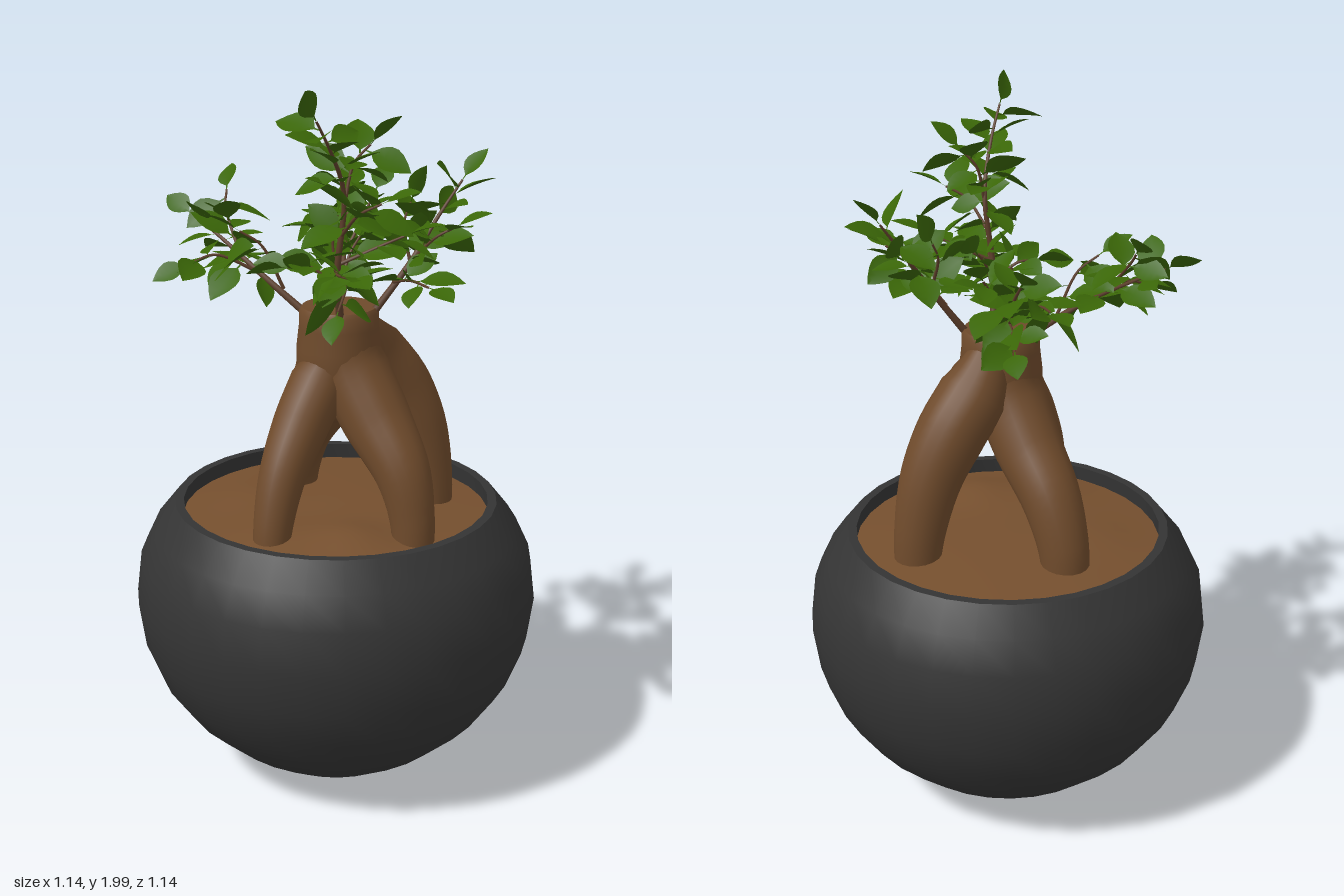
import * as THREE from 'three';
import { mergeGeometries, toCreasedNormals } from 'three/addons/utils/BufferGeometryUtils.js';

const V = (x, y, z) => new THREE.Vector3(x, y, z);
const material = (name, color, side = THREE.FrontSide) => {
  const m = new THREE.MeshStandardMaterial({ color, side });
  m.name = name;
  return m;
};

// Small seeded random source
let seed = 11;
const rand = (a = 0, b = 1) => {
  seed = (seed * 16807) % 2147483647;
  return a + (b - a) * (seed / 2147483647);
};

// Smooth tube whose radius follows a list of values along its length
function taperedTube(points, radii, segments, sides) {
  const curve = new THREE.CatmullRomCurve3(points.map(p => V(...p)));
  const geo = new THREE.TubeGeometry(curve, segments, 1, sides);
  const pos = geo.attributes.position, v = V(0, 0, 0);
  for (let i = 0; i < pos.count; i++) {
    const u = Math.floor(i / (sides + 1)) / segments;
    const f = u * (radii.length - 1), k = Math.min(Math.floor(f), radii.length - 2);
    const r = THREE.MathUtils.lerp(radii[k], radii[k + 1], f - k);
    const c = curve.getPointAt(u);
    v.fromBufferAttribute(pos, i).sub(c).multiplyScalar(r).add(c);
    pos.setXYZ(i, v.x, v.y, v.z);
  }
  return { geo, curve };
}

const lathe = (profile, sides) =>
  new THREE.LatheGeometry(profile.map(p => new THREE.Vector2(...p)), sides);

// Pointed oval leaf with a short stalk and a folded midrib, one unit long along +y
function leafBlade() {
  const geo = new THREE.PlaneGeometry(1, 1, 2, 7).translate(0, 0.5, 0);
  const pos = geo.attributes.position;
  for (let i = 0; i < pos.count; i++) {
    const t = pos.getY(i);
    const w = 0.03 + 0.58 * Math.sin(Math.PI * Math.pow(Math.max(0, (t - 0.14) / 0.86), 0.85));
    const x = pos.getX(i) * (t > 0.99 ? 0 : w);
    pos.setXYZ(i, x, t, Math.abs(x) * 0.2 - 0.14 * t * t);
  }
  geo.computeVertexNormals();
  return geo;
}

// Leaf placed at a point, growing along dir with its face turned towards up
function placeLeaf(blade, at, dir, up, size) {
  const y = dir.clone().normalize();
  const x = y.clone().cross(up).normalize();
  const z = x.clone().cross(y);
  const m = new THREE.Matrix4().makeBasis(x, y, z).scale(V(size, size, size)).setPosition(at);
  return blade.clone().applyMatrix4(m);
}

export function createModel() {
  seed = 11;
  const root = new THREE.Group();
  const potMat = material('charcoal pot', 0x343434);
  const barkMat = material('bark', 0x6e4a2b);
  const soilMat = material('soil', 0x754f2e);
  const twigMat = material('twig brown', 0x5e3f2b);
  const leafMat = material('leaf green', 0x3a6607, THREE.DoubleSide);
  const add = (parent, name, geo, mat) => {
    const mesh = new THREE.Mesh(geo, mat);
    mesh.name = name;
    parent.add(mesh);
    return mesh;
  };

  // Round pot with a thin rim and hollow neck
  add(root, 'pot', toCreasedNormals(lathe([
    [0, 0], [0.18, 0], [0.23, 0.022], [0.335, 0.09], [0.44, 0.185], [0.51, 0.285], [0.553, 0.395],
    [0.57, 0.52], [0.555, 0.64], [0.515, 0.725], [0.455, 0.8], [0.43, 0.8], [0.435, 0.72],
  ], 32), 0.6), potMat);

  // Soil surface, slightly heaped in the middle, with low mounds
  const rings = Array.from({ length: 15 }, (_, i) => {
    const r = 0.435 * (1 - i / 14);
    return [r, 0.755 + 0.025 * Math.cos(r / 0.435 * Math.PI / 2)];
  });
  const soil = lathe(rings, 40);
  const sp = soil.attributes.position;
  const mounds = [[0.24, 0.12, 0.03], [0.1, 0.27, 0.015], [-0.2, 0.15, 0.01]];
  for (let i = 0; i < sp.count; i++) {
    let y = sp.getY(i);
    for (const [x, z, h] of mounds)
      y += h * Math.exp(-((sp.getX(i) - x) ** 2 + (sp.getZ(i) - z) ** 2) / 0.012);
    sp.setY(i, y);
  }
  soil.computeVertexNormals();
  add(root, 'soil', soil, soilMat);

  // Trunk stump with a flat cut top
  const trunk = toCreasedNormals(lathe([
    [0, 1.04], [0.06, 1.06], [0.1, 1.12], [0.116, 1.19], [0.115, 1.26], [0.108, 1.32],
    [0.108, 1.36], [0.1, 1.372], [0, 1.368],
  ], 28), 0.8);
  add(root, 'trunk', trunk, barkMat).position.set(0.055, 0, 0.03);

  // Four swollen roots standing in the soil
  const roots = {
    rightRoot: [[[0.04, 1.32, 0.02], [0.01, 1.2, 0.015], [-0.075, 1.07, 0.0], [-0.175, 0.95, -0.015], [-0.228, 0.82, -0.02], [-0.24, 0.71, -0.02]],
      [0.06, 0.1, 0.095, 0.085, 0.073, 0.064]],
    leftRoot: [[[0.07, 1.33, 0.03], [0.095, 1.22, 0.02], [0.18, 1.085, 0.0], [0.275, 0.95, -0.02], [0.308, 0.82, -0.03], [0.315, 0.71, -0.03]],
      [0.07, 0.1, 0.096, 0.08, 0.063, 0.054]],
    frontRoot: [[[0.06, 1.29, 0.05], [0.065, 1.21, 0.08], [0.075, 1.08, 0.165], [0.09, 0.95, 0.24], [0.1, 0.82, 0.28], [0.105, 0.71, 0.295]],
      [0.04, 0.082, 0.077, 0.066, 0.056, 0.047]],
    backRoot: [[[0.05, 1.33, -0.01], [0.04, 1.23, -0.08], [0.055, 1.13, -0.16], [0.08, 1.0, -0.22], [0.095, 0.84, -0.255], [0.1, 0.71, -0.265]],
      [0.05, 0.098, 0.096, 0.085, 0.073, 0.062]],
  };
  for (const [name, [pts, radii]] of Object.entries(roots))
    add(root, name, taperedTube(pts, radii, 24, 18).geo, barkMat);

  // Twigs of each branch: path points and number of leaves
  const branches = {
    frontRightBranch: [
      [[[0, 1.35, 0.1], [-0.12, 1.45, 0.17], [-0.25, 1.53, 0.21], [-0.34, 1.58, 0.24]], 10],
      [[[-0.12, 1.45, 0.17], [-0.18, 1.5, 0.27], [-0.2, 1.48, 0.34]], 7],
      [[[-0.18, 1.49, 0.19], [-0.28, 1.6, 0.17], [-0.32, 1.64, 0.14]], 7],
      [[[-0.06, 1.41, 0.13], [-0.09, 1.53, 0.18], [-0.12, 1.57, 0.23]], 5],
    ],
    backRightBranch: [
      [[[0.01, 1.35, -0.01], [-0.1, 1.46, -0.1], [-0.2, 1.57, -0.19], [-0.26, 1.63, -0.23]], 11],
      [[[-0.1, 1.46, -0.1], [-0.2, 1.53, -0.1], [-0.27, 1.54, -0.13]], 8],
      [[[-0.1, 1.46, -0.1], [-0.12, 1.57, -0.19], [-0.14, 1.62, -0.24]], 8],
      [[[-0.04, 1.4, -0.05], [-0.07, 1.51, -0.04], [-0.06, 1.59, -0.05]], 6],
      [[[-0.1, 1.46, -0.1], [-0.19, 1.46, -0.18], [-0.23, 1.45, -0.22]], 5],
    ],
    tallFrontBranch: [
      [[[0.13, 1.35, 0.08], [0.17, 1.5, 0.12], [0.2, 1.7, 0.12], [0.25, 1.83, 0.2], [0.275, 1.91, 0.26]], 19],
      [[[0.17, 1.5, 0.12], [0.27, 1.52, 0.19], [0.35, 1.53, 0.21]], 9],
      [[[0.19, 1.6, 0.12], [0.28, 1.67, 0.13], [0.33, 1.7, 0.1]], 7],
      [[[0.16, 1.46, 0.12], [0.12, 1.51, 0.17], [0.09, 1.51, 0.22]], 7],
      [[[0.2, 1.68, 0.12], [0.2, 1.78, 0.09], [0.23, 1.83, 0.06]], 8],
      [[[0.16, 1.46, 0.11], [0.26, 1.48, 0.16], [0.31, 1.44, 0.22]], 7],
      [[[0.17, 1.52, 0.11], [0.24, 1.57, 0.03], [0.29, 1.6, -0.01]], 7],
      [[[0.15, 1.44, 0.1], [0.13, 1.53, 0.05], [0.12, 1.57, 0.01]], 5],
    ],
    backLeftBranch: [
      [[[0.12, 1.35, -0.03], [0.17, 1.49, -0.12], [0.18, 1.6, -0.2], [0.2, 1.7, -0.27]], 13],
      [[[0.17, 1.49, -0.12], [0.25, 1.57, -0.14], [0.29, 1.6, -0.17]], 7],
      [[[0.15, 1.44, -0.08], [0.26, 1.47, -0.05], [0.35, 1.47, -0.04]], 8],
      [[[0.17, 1.49, -0.12], [0.13, 1.59, -0.13], [0.12, 1.64, -0.16]], 6],
    ],
  };

  const blade = leafBlade();
  for (const [name, twigs] of Object.entries(branches)) {
    const group = new THREE.Group();
    group.name = name;
    const wood = [], leaves = [];
    twigs.forEach(([pts, count], n) => {
      const { geo, curve } = taperedTube(pts, n ? [0.005, 0.003] : [0.011, 0.007, 0.003], 14, 6);
      wood.push(geo);
      for (let i = 0; i < count; i++) {
        // Leaves turn round the twig by the golden angle; the last one ends it
        const last = i === count - 1;
        const u = last ? 1 : THREE.MathUtils.lerp(n ? 0.25 : 0.38, 0.98, i / (count - 1));
        const along = curve.getTangentAt(u), a = i * 2.4 + n;
        const p = curve.getPointAt(u);
        const side = V(Math.cos(a), rand(-0.85, 0.55), Math.sin(a));
        const dir = last ? along : side.addScaledVector(along, 0.5);
        const up = V(rand(-0.8, 0.8), 0.9, rand(-0.8, 0.8));
        leaves.push(placeLeaf(blade, p, dir, up, last ? 0.107 : rand(0.1, 0.145)));
      }
    });
    add(group, 'twigs', mergeGeometries(wood), twigMat);
    add(group, 'leaves', mergeGeometries(leaves), leafMat);
    root.add(group);
  }
  return root;
}
